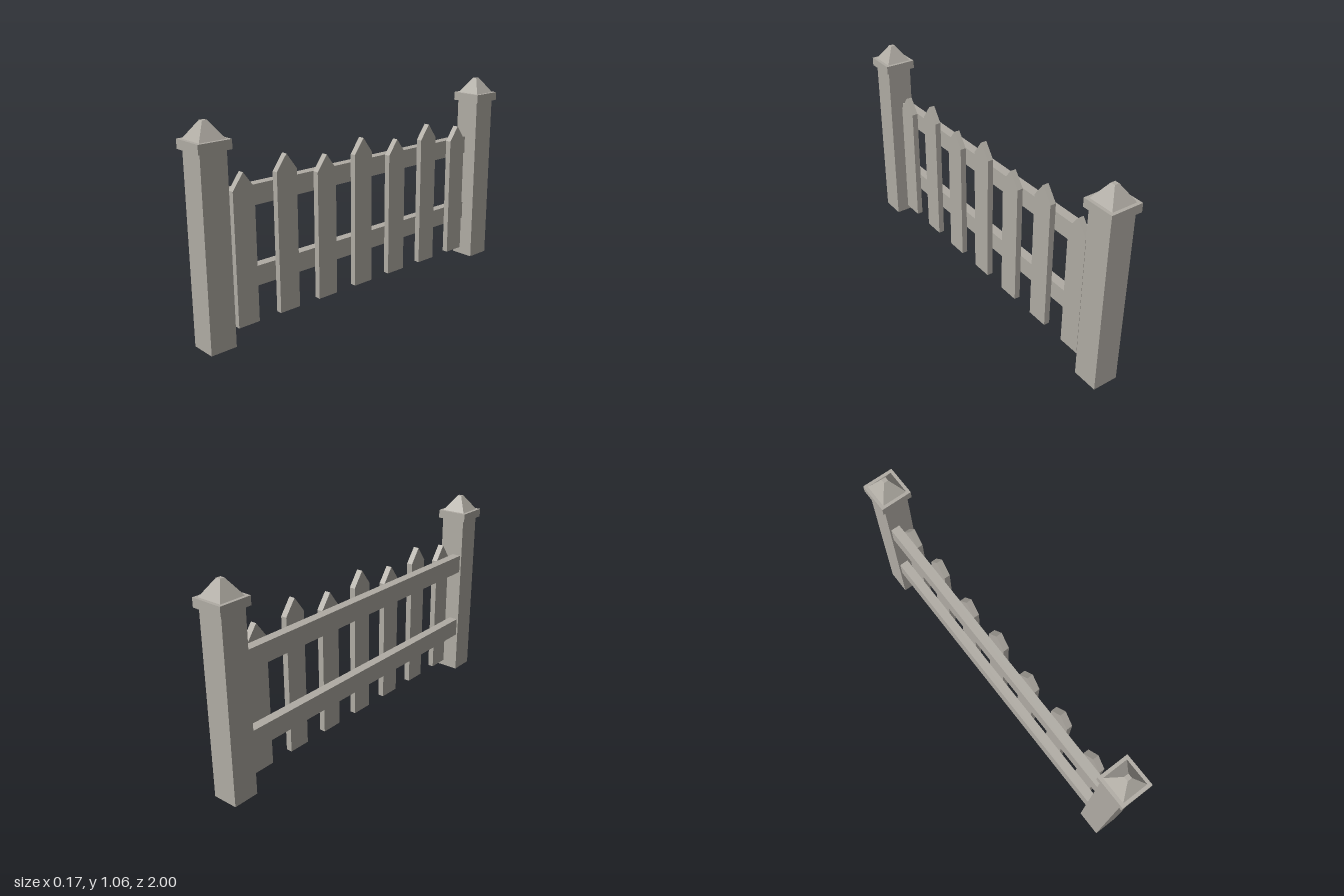
import * as THREE from 'three';

export function createModel() {
  const model = new THREE.Group();
  const wood = new THREE.MeshStandardMaterial({ color: 0xb0aca4 });
  wood.name = 'weatheredWood';

  const add = (name, geometry, parent, x, y, z) => {
    const mesh = new THREE.Mesh(geometry, wood);
    mesh.name = name;
    mesh.position.set(x, y, z);
    parent.add(mesh);
  };

  // End posts: shaft, square cap and truncated pyramid finial
  const shaft = new THREE.BoxGeometry(0.136, 0.935, 0.136);
  const cap = new THREE.BoxGeometry(0.17, 0.045, 0.17);
  const finial = new THREE.CylinderGeometry(0.012 * Math.SQRT2, 0.068 * Math.SQRT2, 0.082, 4)
    .rotateY(Math.PI / 4).toNonIndexed();
  finial.computeVertexNormals();
  for (const side of [1, -1]) {
    const post = new THREE.Group();
    post.name = side > 0 ? 'frontPost' : 'backPost';
    post.position.z = side * 0.915;
    add('postShaft', shaft, post, 0, 0.4675, 0);
    add('postCap', cap, post, 0, 0.9575, 0);
    add('postFinial', finial, post, 0, 1.021, 0);
    model.add(post);
  }

  // Horizontal rails behind the pickets
  const rail = new THREE.BoxGeometry(0.05, 0.1, 1.7);
  add('lowerRail', rail, model, -0.034, 0.277, 0);
  add('upperRail', rail, model, -0.034, 0.677, 0);

  // Pointed pickets, alternating short and tall
  const picketGeometry = (tip) => {
    const w = 0.059;
    const outline = new THREE.Shape([
      [-w, 0.06], [w, 0.06], [w, tip - 0.08], [0, tip], [-w, tip - 0.08],
    ].map(([x, y]) => new THREE.Vector2(x, y)));
    return new THREE.ExtrudeGeometry(outline, { depth: 0.032, bevelEnabled: false })
      .rotateY(Math.PI / 2);
  };
  const shortPicket = picketGeometry(0.805);
  const tallPicket = picketGeometry(0.85);
  for (let i = -3; i <= 3; i++) {
    add('picket', i % 2 ? shortPicket : tallPicket, model, -0.009, 0, i * 0.2465);
  }
  return model;
}
